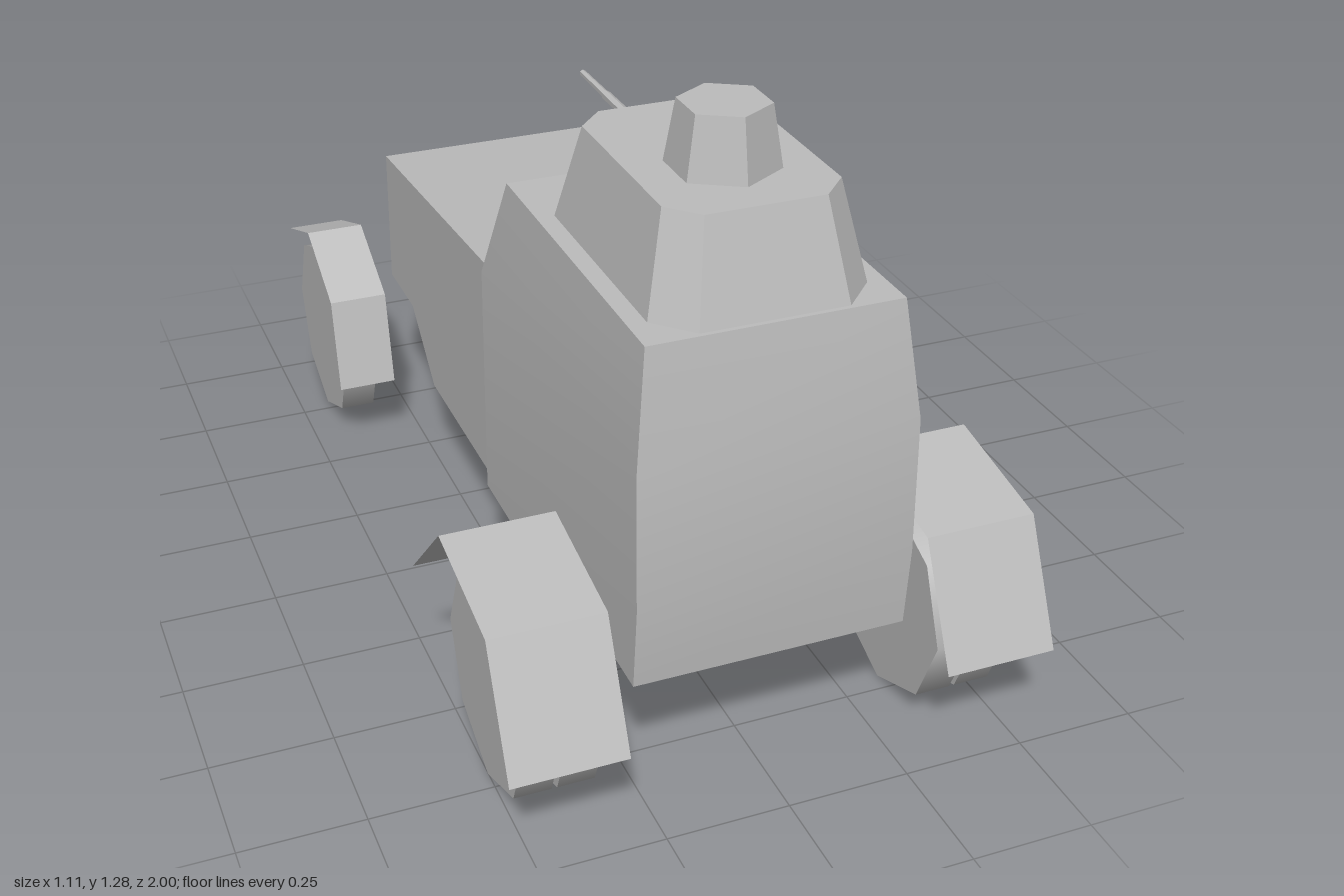
import * as THREE from 'three';
import { mergeGeometries, toCreasedNormals } from 'three/addons/utils/BufferGeometryUtils.js';

const armourGrey = new THREE.MeshStandardMaterial({ color: 0xbcbcbc, side: THREE.DoubleSide });
armourGrey.name = 'armourGrey';

function add(parent, name, geometry, x = 0, y = 0, z = 0) {
  const mesh = new THREE.Mesh(geometry, armourGrey);
  mesh.name = name;
  mesh.position.set(x, y, z);
  parent.add(mesh);
  return mesh;
}

function flat(geometry) {
  const g = geometry.toNonIndexed();
  g.computeVertexNormals();
  return g;
}

function polygon(points) {
  return new THREE.Shape(points.map(([a, b]) => new THREE.Vector2(a, b)));
}

// Side profile of [z, y] points extruded across x, centred on x = 0
function sideExtrude(points, width) {
  const g = new THREE.ExtrudeGeometry(polygon(points), { depth: width, bevelEnabled: false });
  return g.translate(0, 0, -width / 2).rotateY(-Math.PI / 2);
}

// Scale x (and optionally z) progressively from y0 to y1
function taper(g, y0, y1, sx, sz = 1) {
  const p = g.attributes.position;
  for (let i = 0; i < p.count; i++) {
    const t = (p.getY(i) - y0) / (y1 - y0);
    p.setX(i, p.getX(i) * (1 + (sx - 1) * t));
    p.setZ(i, p.getZ(i) * (1 + (sz - 1) * t));
  }
  g.computeVertexNormals();
  return g;
}

// Open folded sheet following [z, y] points across a width
function foldedSheet(points, width) {
  const panels = [];
  for (let i = 0; i < points.length - 1; i++) {
    const [z0, y0] = points[i], [z1, y1] = points[i + 1];
    const panel = new THREE.PlaneGeometry(width, Math.hypot(z1 - z0, y1 - y0));
    panel.rotateX(-Math.PI / 2);
    panel.rotateX(Math.atan2(y1 - y0, z0 - z1));
    panel.translate(0, (y0 + y1) / 2, (z0 + z1) / 2);
    panels.push(panel);
  }
  return mergeGeometries(panels);
}

function wheel(radius, width) {
  return new THREE.CylinderGeometry(radius, radius, width, 8).rotateZ(Math.PI / 2);
}

export function createModel() {
  const model = new THREE.Group();
  model.name = 'armouredCar';

  // Crew compartment: straight lower walls, upper walls leaning in
  const lower = sideExtrude([
    [0.05, 0.21], [0.37, 0.21], [0.405, 0.28], [0.895, 0.28],
    [0.908, 0.45], [0.9, 0.73], [0.05, 0.73],
  ], 0.554);
  const upper = taper(sideExtrude([
    [0.05, 0.73], [0.9, 0.73], [0.865, 0.965], [0.145, 0.965],
  ], 0.554), 0.73, 0.965, 0.25 / 0.277);
  add(model, 'crewCompartment', toCreasedNormals(mergeGeometries([lower, upper]), 0.8));

  // Engine hood
  add(model, 'engineHood', toCreasedNormals(sideExtrude([
    [0.05, 0.21], [0.05, 0.73], [-0.75, 0.663], [-0.75, 0.345], [-0.57, 0.345], [-0.41, 0.21],
  ].reverse(), 0.514), 0.8));

  // Turret: chamfered block tapering upward
  const turret = new THREE.Group();
  turret.name = 'turret';
  model.add(turret);
  const turretShell = new THREE.ExtrudeGeometry(polygon([
    [0.213, -0.233], [0.213, 0.233], [0.145, 0.303], [-0.145, 0.303],
    [-0.213, 0.233], [-0.213, -0.233], [-0.145, -0.303], [0.145, -0.303],
  ]), { depth: 0.195, bevelEnabled: false }).rotateX(-Math.PI / 2);
  add(turret, 'turretShell', taper(turretShell, 0, 0.195, 0.807, 0.82), 0, 0.965, 0.553);
  add(turret, 'cupola', flat(new THREE.CylinderGeometry(0.087, 0.108, 0.123, 6)), 0, 1.2215, 0.617);

  // Gun pointing to -z
  const gunPart = (r1, r0, length) =>
    flat(new THREE.CylinderGeometry(r1, r0, length, 6).rotateX(-Math.PI / 2));
  add(turret, 'gunMount', gunPart(0.032, 0.048, 0.065), 0, 1.083, 0.273);
  add(turret, 'gunJacket', gunPart(0.01, 0.011, 0.21), 0, 1.08, 0.15);
  add(turret, 'gunBarrel', gunPart(0.007, 0.008, 0.14), 0, 1.08, -0.018);

  // Wheels and fenders, mirrored
  const doubleFender = foldedSheet([[1, 0.21], [0.885, 0.452], [0.615, 0.5], [0.425, 0.31]], 0.23);
  const singleFender = foldedSheet([[-0.522, 0.178], [-0.57, 0.388], [-0.768, 0.484], [-0.972, 0.407]], 0.132);
  for (const [side, s] of [['left', 1], ['right', -1]]) {
    add(model, side + 'DoubleWheelInner', wheel(0.217, 0.075), s * 0.3775, 0.217, 0.71);
    add(model, side + 'DoubleWheelOuter', wheel(0.217, 0.075), s * 0.4635, 0.217, 0.71);
    add(model, side + 'SingleWheel', wheel(0.217, 0.079), s * 0.392, 0.217, -0.783);
    add(model, side + 'DoubleWheelFender', doubleFender, s * 0.438, 0, 0);
    add(model, side + 'SingleWheelFender', singleFender, s * 0.39, 0, 0);
  }
  return model;
}
